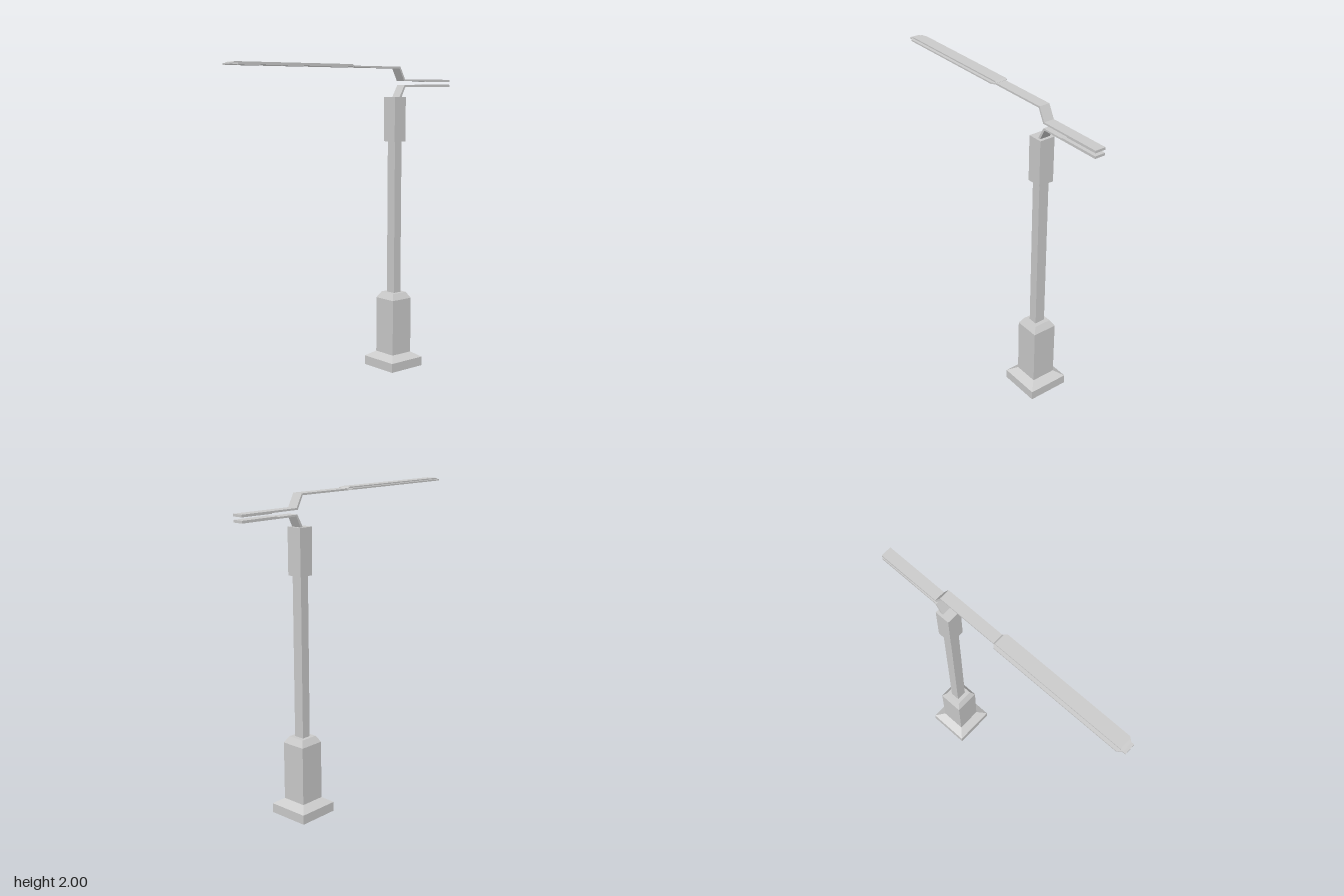
import * as THREE from 'three';

const POST_X = 0.411;
const ARM_WIDTH = 0.069;
const material = new THREE.MeshStandardMaterial({
  color: 0xcccccc, flatShading: true, side: THREE.DoubleSide,
});

function addMesh(parent, name, geometry) {
  const mesh = new THREE.Mesh(geometry, material);
  mesh.name = name;
  parent.add(mesh);
  return mesh;
}

// Square tower from [half width, height] pairs, bottom to top
function squareTower(profile) {
  const points = profile.map(([half, y]) => new THREE.Vector2(half * Math.SQRT2, y));
  return new THREE.LatheGeometry(points, 4, Math.PI / 4);
}

// Flat bar with the given side outline (x, y), extruded across z
function bar(outline) {
  const shape = new THREE.Shape(outline.map(([x, y]) => new THREE.Vector2(x, y)));
  return new THREE.ExtrudeGeometry(shape, { depth: ARM_WIDTH, bevelEnabled: false })
    .translate(0, 0, -ARM_WIDTH / 2);
}

export function createModel() {
  const model = new THREE.Group();
  model.name = 'streetLamp';

  // Post: hollow pedestal open below, square pole, sleeve
  const post = new THREE.Group();
  post.name = 'post';
  post.position.x = POST_X;
  model.add(post);

  addMesh(post, 'pedestal', squareTower([
    [0.135, 0], [0.135, 0.06], [0.081, 0.095], [0.081, 0.465], [0.057, 0.505], [0, 0.505],
  ]));
  const pole = addMesh(post, 'pole', squareTower([[0.034, 0.505], [0.034, 1.51]]));
  pole.scale.x = 0.87;
  const sleeve = addMesh(post, 'sleeve', squareTower([
    [0, 1.51], [0.051, 1.51], [0.051, 1.797], [0, 1.797],
  ]));
  sleeve.scale.x = 0.95;

  // Lower bracket rising from the sleeve
  addMesh(model, 'lowerBracket', bar([
    [0.418, 1.795], [0.437, 1.795], [0.471, 1.863], [0.885, 1.863],
    [0.885, 1.874], [0.463, 1.874],
  ]));

  // Long lamp arm, stepping down to run above the bracket
  addMesh(model, 'upperArm', bar([
    [-0.885, 1.98], [0.417, 1.98], [0.459, 1.9], [0.885, 1.9],
    [0.885, 1.911], [0.467, 1.911], [0.425, 1.991], [-0.885, 1.991],
  ]));

  // Thin contact pads on the facing sides of the two arms
  addMesh(model, 'upperPad', new THREE.BoxGeometry(0.225, 0.004, ARM_WIDTH).translate(0.7725, 1.898, 0));
  addMesh(model, 'lowerPad', new THREE.BoxGeometry(0.265, 0.004, ARM_WIDTH).translate(0.7525, 1.876, 0));

  // Lamp head: wide plate with chamfered corners and a raised centre strip
  const plan = [
    [-0.865, -0.035], [-0.84, -0.055], [0.01, -0.055], [0.032, -0.035],
    [0.032, 0.035], [0.01, 0.055], [-0.84, 0.055], [-0.865, 0.035],
  ];
  const plate = new THREE.Shape(plan.map(([x, z]) => new THREE.Vector2(x, z)));
  addMesh(model, 'lampPlate', new THREE.ExtrudeGeometry(plate, { depth: 0.009, bevelEnabled: false })
    .rotateX(-Math.PI / 2).translate(0, 1.983, 0));
  addMesh(model, 'lampRidge', bar([
    [-0.87, 1.99], [0.032, 1.99], [0.02, 2], [-0.85, 2],
  ]));

  return model;
}
